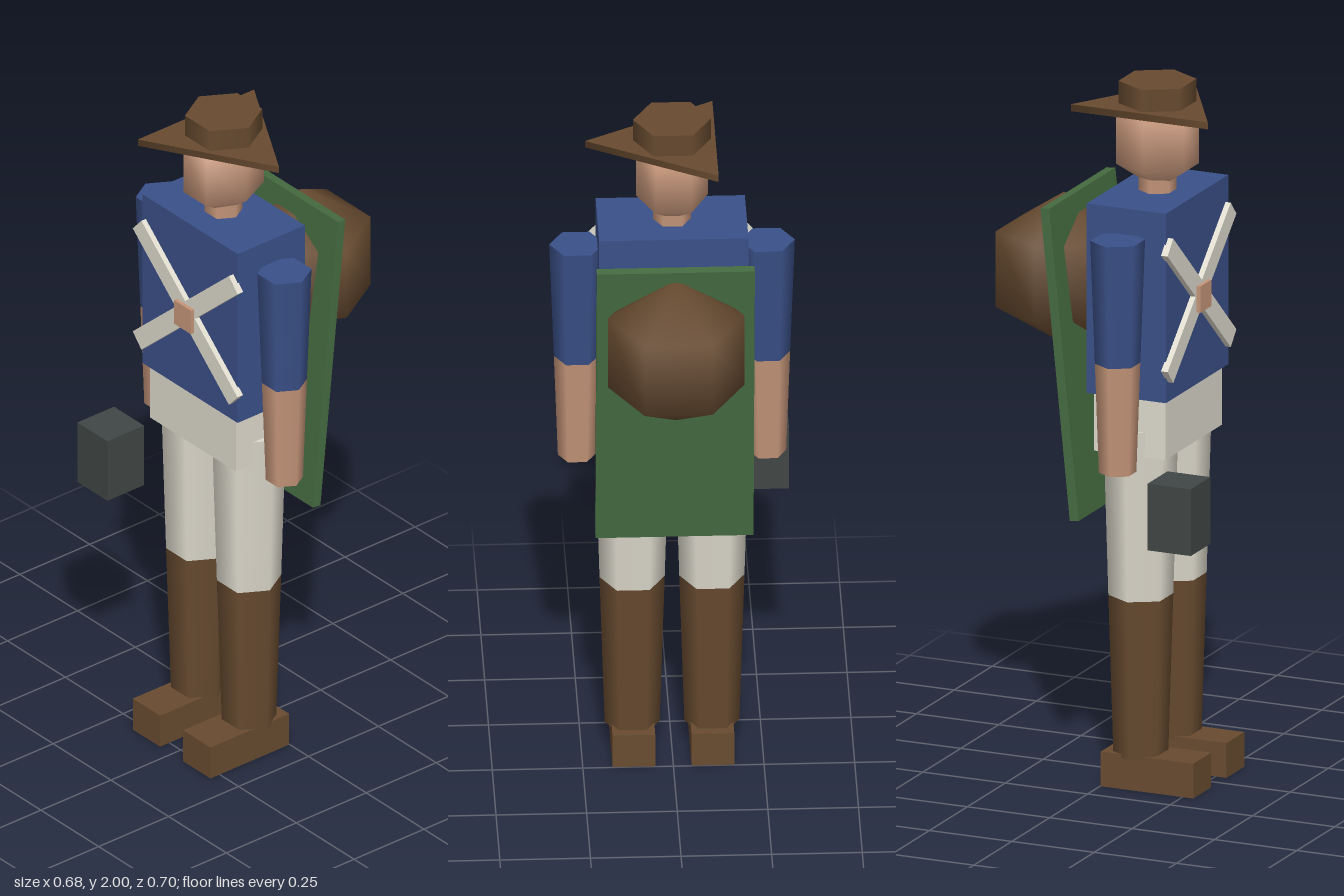
import * as THREE from 'three';

const BODY_Z = 0.097;

function material(name, color) {
  const m = new THREE.MeshStandardMaterial({ color });
  m.name = name;
  return m;
}

export function createModel() {
  const blue = material('coat blue', 0x3a5088);
  const cream = material('cream cloth', 0xdedacd);
  const brown = material('leather brown', 0x684b30);
  const skin = material('skin', 0xc6967a);
  const green = material('board green', 0x456b40);
  const dark = material('dark grey', 0x404645);

  const model = new THREE.Group();
  model.name = 'soldier';

  function add(name, geometry, mat, x, y, z, parent = model) {
    const mesh = new THREE.Mesh(geometry, mat);
    mesh.name = name;
    mesh.position.set(x, y, z);
    parent.add(mesh);
    return mesh;
  }

  // Box given by its minimum and maximum corners
  function box(name, mat, x0, x1, y0, y1, z0, z1, parent) {
    return add(name, new THREE.BoxGeometry(x1 - x0, y1 - y0, z1 - z0), mat,
      (x0 + x1) / 2, (y0 + y1) / 2, (z0 + z1) / 2, parent);
  }

  // Upright tapered prism with one corner pointing along +x
  function prism(name, mat, rTop, rBottom, yTop, yBottom, x, parent, sides = 6) {
    const g = new THREE.CylinderGeometry(rTop, rBottom, yTop - yBottom, sides, 1, false, Math.PI / 2);
    return add(name, g, mat, x, (yTop + yBottom) / 2, BODY_Z, parent);
  }

  // Torso and hips
  box('torso', blue, -0.206, 0.206, 1.14, 1.685, -0.023, 0.217);
  box('hips', cream, -0.186, 0.186, 0.97, 1.14, -0.01, 0.207);

  // Arms and legs
  for (const [side, s] of [['left', 1], ['right', -1]]) {
    const arm = new THREE.Group();
    arm.name = side + 'Arm';
    prism('sleeve', blue, 0.076, 0.063, 1.61, 1.256, s * 0.263, arm);
    prism('forearm', skin, 0.063, 0.052, 1.256, 0.942, s * 0.263, arm);

    const leg = new THREE.Group();
    leg.name = side + 'Leg';
    prism('trouser', cream, 0.104, 0.09, 1.04, 0.55, s * 0.11, leg);
    prism('boot', brown, 0.09, 0.076, 0.55, 0.09, s * 0.11, leg);
    const foot = box('foot', brown, -0.059, 0.059, 0, 0.1, 0.002, 0.283, leg);
    foot.position.x = s * 0.109;
    model.add(arm, leg);
  }

  // Neck and head
  prism('neck', skin, 0.053, 0.053, 1.78, 1.68, 0);
  const head = add('head', new THREE.SphereGeometry(1, 6, 3), skin, 0, 1.832, BODY_Z);
  head.scale.set(0.114, 0.146, 0.137);

  // Three-cornered hat
  prism('hatBrim', brown, 0.24, 0.24, 1.936, 1.916, 0, model, 3);
  prism('hatCrown', brown, 0.108, 0.108, 2, 1.93, 0);

  // Crossed straps and buckle
  for (const s of [1, -1]) {
    const strap = add('chestStrap', new THREE.BoxGeometry(0.56, 0.056, 0.02), cream, -0.002, 1.404, 0.223);
    strap.rotation.z = s * 0.732;
  }
  box('buckle', skin, -0.037, 0.037, 1.357, 1.433, 0.221, 0.244);

  // Back board and bundle
  const board = add('backBoard', new THREE.BoxGeometry(0.436, 0.892, 0.027), green, 0, 1.214, -0.1);
  board.rotation.x = -0.1;
  add('bundle', new THREE.SphereGeometry(0.218, 6, 3), brown, 0, 1.424, -0.187);

  // Box held in front of the right hand
  box('carriedBox', dark, -0.328, -0.198, 0.75, 0.942, 0.218, 0.349);

  return model;
}
